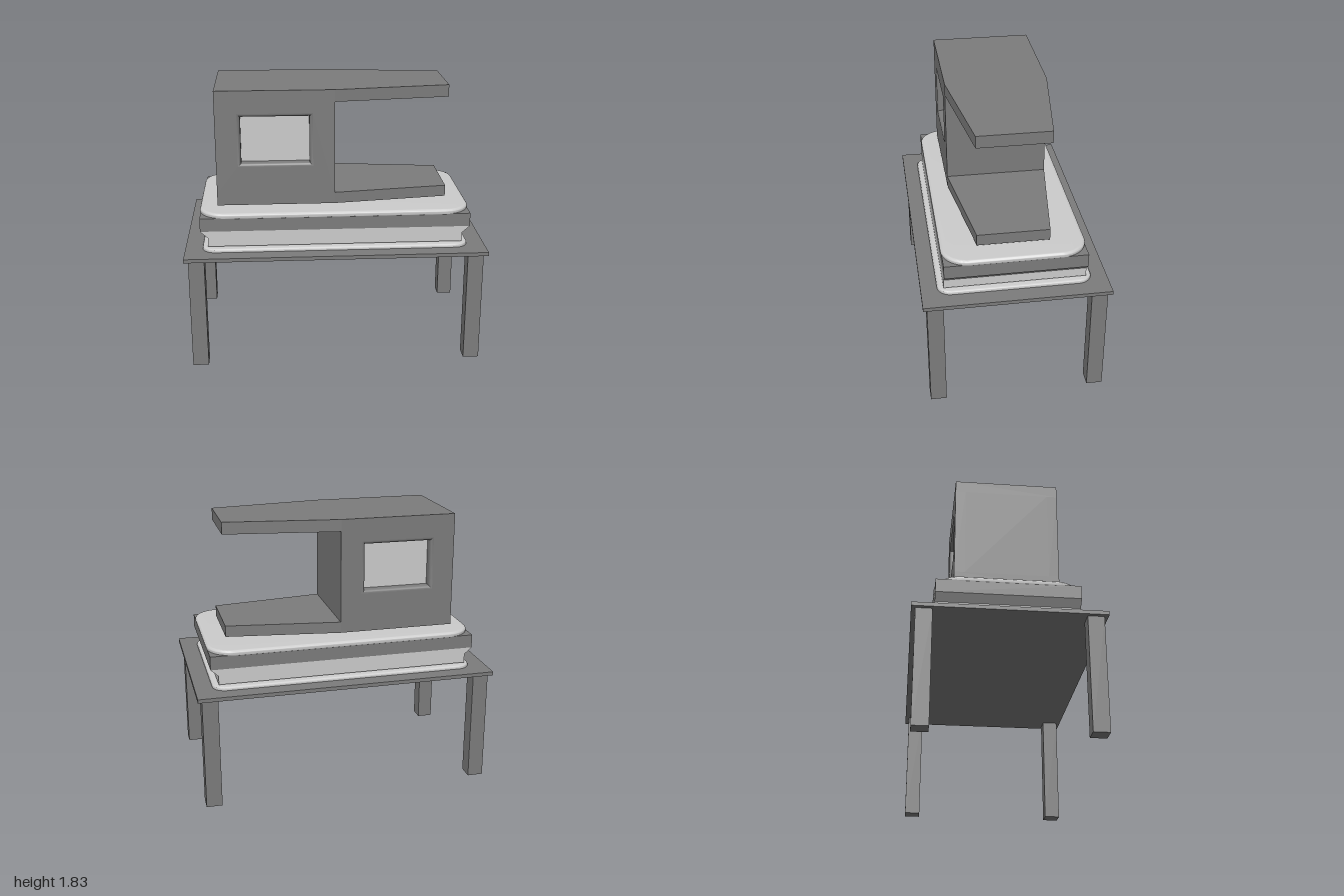
import * as THREE from 'three';
import { toCreasedNormals } from 'three/addons/utils/BufferGeometryUtils.js';

const dark = new THREE.MeshStandardMaterial({ color: 0x7c7c7c });
const light = new THREE.MeshStandardMaterial({ color: 0xcccccc });

function add(parent, name, geometry, material, x = 0, y = 0, z = 0) {
  const mesh = new THREE.Mesh(geometry, material);
  mesh.name = name;
  mesh.position.set(x, y, z);
  parent.add(mesh);
  return mesh;
}

const polygon = (points) => new THREE.Shape(points.map(([x, y]) => new THREE.Vector2(x, y)));

// Rounded slab lying flat, with a half-round edge of the given thickness
function bullnoseSlab(halfX, halfZ, radius, thickness) {
  const b = thickness / 2, w = halfX - b, d = halfZ - b, r = radius - b;
  const s = new THREE.Shape();
  s.absarc(w - r, d - r, r, 0, Math.PI / 2);
  s.absarc(-w + r, d - r, r, Math.PI / 2, Math.PI);
  s.absarc(-w + r, -d + r, r, Math.PI, Math.PI * 1.5);
  s.absarc(w - r, -d + r, r, Math.PI * 1.5, Math.PI * 2);
  const g = new THREE.ExtrudeGeometry(s, {
    depth: 0.001, bevelThickness: b, bevelSize: b, bevelSegments: 6, curveSegments: 10,
  });
  g.rotateX(-Math.PI / 2);
  return toCreasedNormals(g, 0.7);
}

// Rounded window reveal: rectangular loops stepping inward and back
function windowReveal(halfW, halfH, radius, depth) {
  const steps = 6, profile = [];
  for (let i = 0; i <= steps; i++) {
    const a = (i / steps) * Math.PI / 2;
    profile.push([radius * Math.sin(a), radius * (1 - Math.cos(a))]);
  }
  profile.push([radius, depth]);
  const corners = [[-1, -1], [1, -1], [1, 1], [-1, 1]];
  const positions = [], index = [];
  profile.forEach(([inset, back], i) => {
    for (const [sx, sy] of corners) positions.push(sx * (halfW - inset), sy * (halfH - inset), -back);
    if (i === 0) return;
    for (let k = 0; k < 4; k++) {
      const a = (i - 1) * 4 + k, b = (i - 1) * 4 + (k + 1) % 4;
      index.push(a, b, b + 4, a, b + 4, a + 4);
    }
  });
  const g = new THREE.BufferGeometry();
  g.setAttribute('position', new THREE.Float32BufferAttribute(positions, 3));
  g.setIndex(index);
  return toCreasedNormals(g, 0.7);
}

function createTable() {
  const table = new THREE.Group();
  table.name = 'table';
  add(table, 'tableTop', new THREE.BoxGeometry(2, 0.025, 1.21), dark, 0, 0.7675, 0);
  for (const sx of [-1, 1]) for (const sz of [-1, 1]) {
    add(table, 'tableLeg', new THREE.BoxGeometry(0.105, 0.755, 0.105), dark, sx * 0.92, 0.3775, sz * 0.527);
  }
  return table;
}

function createPlinth() {
  const plinth = new THREE.Group();
  plinth.name = 'plinth';
  add(plinth, 'lowerFoot', new THREE.BoxGeometry(1.68, 0.012, 0.9), light, 0, 0.786, 0);
  add(plinth, 'lowerMoulding', bullnoseSlab(0.885, 0.5, 0.09, 0.032), light, 0, 0.786, 0);

  // Body flares outward at its two ends only
  const body = new THREE.ExtrudeGeometry(polygon([
    [-0.845, 0.81], [0.845, 0.81], [0.845, 0.87], [0.895, 0.915], [-0.895, 0.915], [-0.845, 0.87],
  ]), { depth: 0.92, bevelEnabled: false });
  add(plinth, 'flaredBody', body, light, 0, 0, -0.46);
  add(plinth, 'upperBand', new THREE.BoxGeometry(1.79, 0.09, 0.92), dark, 0, 0.96, 0);

  add(plinth, 'neck', new THREE.BoxGeometry(1.66, 0.02, 0.76), light, 0, 1.01, 0);
  add(plinth, 'upperMoulding', bullnoseSlab(0.9, 0.465, 0.17, 0.039), light, 0, 1.014, 0);
  return plinth;
}

function createCabin() {
  const cabin = new THREE.Group();
  cabin.name = 'cabin';

  // Floor and roof share one outline, tapering beyond the closed block
  const outline = polygon([[-0.78, -0.34], [0, -0.34], [0.76, -0.235], [0.76, 0.235], [0, 0.34], [-0.78, 0.34]]);
  for (const [name, y, height] of [['floor', 1.055, 0.075], ['roof', 1.745, 0.08]]) {
    const g = new THREE.ExtrudeGeometry(outline, { depth: height, bevelEnabled: false });
    g.rotateX(-Math.PI / 2);
    add(cabin, name, g, dark, 0, y, 0);
  }

  // Closed block with a recessed window in front and back
  const bottom = 1.13, top = 1.745, windowY = 1.495, depth = 0.067;
  const halfW = 0.2475, halfH = 0.178, radius = 0.022;
  add(cabin, 'blockCore', new THREE.BoxGeometry(0.78, top - bottom, 0.68 - 2 * depth), dark,
    -0.39, (top + bottom) / 2, 0);

  const wall = polygon([[-0.39, bottom - windowY], [0.39, bottom - windowY], [0.39, top - windowY], [-0.39, top - windowY]]);
  wall.holes.push(new THREE.Path([[-1, -1], [-1, 1], [1, 1], [1, -1]].map(
    ([sx, sy]) => new THREE.Vector2(sx * halfW, sy * halfH))));
  const wallGeometry = new THREE.ExtrudeGeometry(wall, { depth, bevelEnabled: false });
  const revealGeometry = windowReveal(halfW, halfH, radius, depth);
  const paneGeometry = new THREE.BoxGeometry(2 * (halfW - radius), 2 * (halfH - radius), 0.01);

  for (const [name, turn] of [['frontWall', 0], ['backWall', Math.PI]]) {
    const side = new THREE.Group();
    side.name = name;
    side.position.set(-0.39, windowY, 0);
    side.rotation.y = turn;
    add(side, 'wallPanel', wallGeometry, dark, 0, 0, 0.34 - depth);
    add(side, 'windowReveal', revealGeometry, dark, 0, 0, 0.34);
    add(side, 'windowPane', paneGeometry, light, 0, 0, 0.34 - depth);
    cabin.add(side);
  }
  return cabin;
}

export function createModel() {
  const model = new THREE.Group();
  model.name = 'cabinOnTable';
  model.add(createTable(), createPlinth(), createCabin());
  return model;
}
